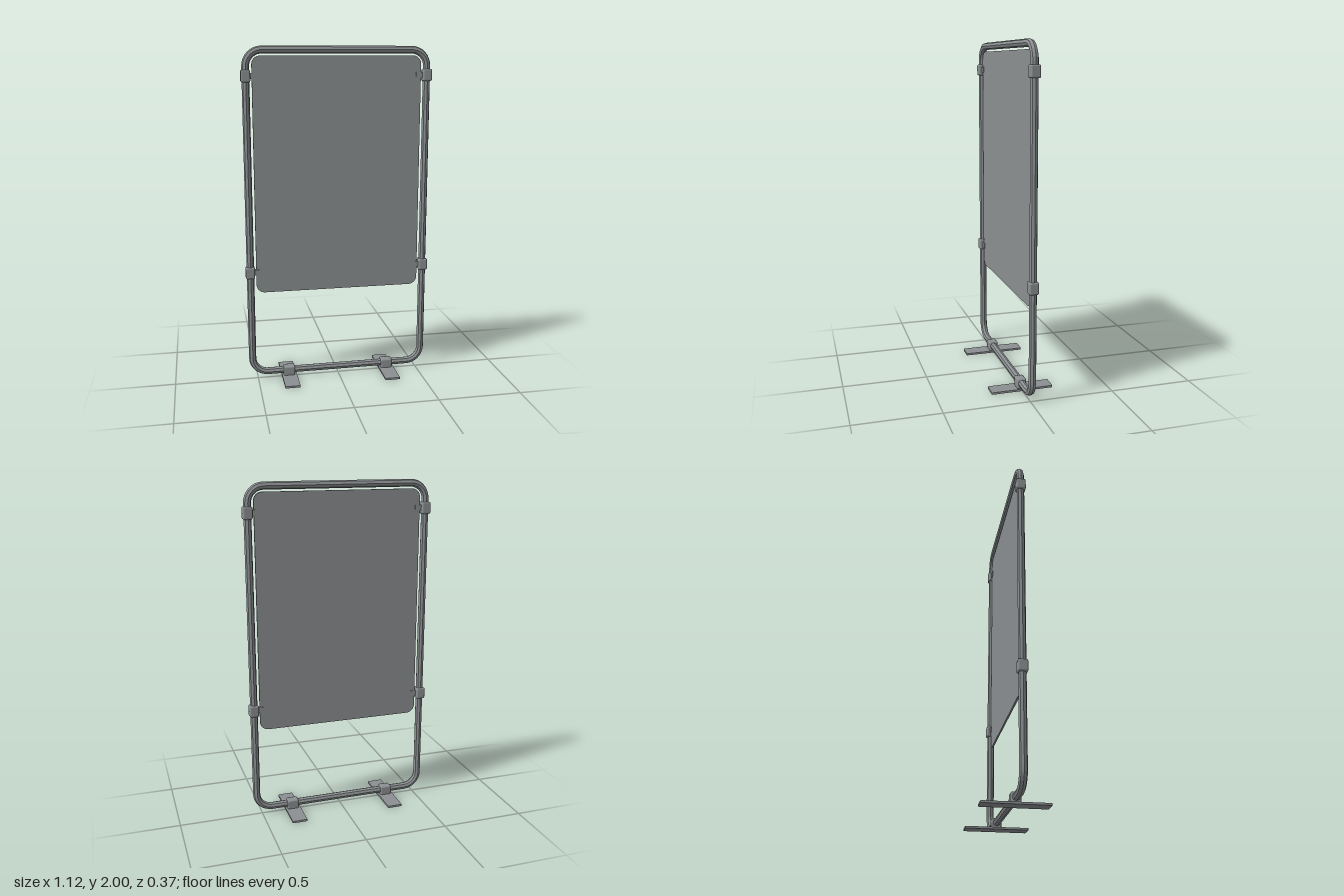
import * as THREE from 'three';
import { RoundedBoxGeometry } from 'three/addons/geometries/RoundedBoxGeometry.js';

const steel = new THREE.MeshStandardMaterial({ color: 0x8c9092 });
steel.name = 'grey steel';
const flatSteel = steel.clone();
flatSteel.flatShading = true;

// Octagonal tube swept around a rounded rectangle in the xy plane
function tubeLoop(halfW, y0, y1, bend, a, sides = 8, steps = 8) {
  const pos = [], index = [];
  const corners = [[1, y1 - bend], [-1, y1 - bend], [-1, y0 + bend], [1, y0 + bend]];
  corners.forEach(([s, cy], q) => {
    for (let i = 0; i <= steps; i++) {
      const t = (q + i / steps) * Math.PI / 2;
      for (let j = 0; j < sides; j++) {
        const p = j / sides * Math.PI * 2, r = bend + a * Math.cos(p);
        pos.push(s * (halfW - bend) + r * Math.cos(t), cy + r * Math.sin(t), a * Math.sin(p));
      }
    }
  });
  const rings = 4 * (steps + 1);
  for (let i = 0; i < rings; i++) {
    for (let j = 0; j < sides; j++) {
      const k = (j + 1) % sides, n = (i + 1) % rings;
      const A = i * sides + j, B = n * sides + j, C = n * sides + k, D = i * sides + k;
      index.push(A, B, C, A, C, D);
    }
  }
  const g = new THREE.BufferGeometry();
  g.setAttribute('position', new THREE.Float32BufferAttribute(pos, 3));
  g.setIndex(index);
  g.computeVertexNormals();
  return g;
}

// Rounded rectangle plate centred on z = 0
function plate(w, h, r, depth) {
  const s = new THREE.Shape(), x = w / 2 - r, y = h / 2 - r;
  s.absarc(x, y, r, 0, Math.PI / 2);
  s.absarc(-x, y, r, Math.PI / 2, Math.PI);
  s.absarc(-x, -y, r, Math.PI, Math.PI * 1.5);
  s.absarc(x, -y, r, Math.PI * 1.5, Math.PI * 2);
  return new THREE.ExtrudeGeometry(s, { depth, bevelEnabled: false, curveSegments: 8 })
    .translate(0, 0, -depth / 2);
}

export function createModel() {
  const model = new THREE.Group();
  model.name = 'signStand';
  const add = (name, geometry, x, y, z, material = steel) => {
    const m = new THREE.Mesh(geometry, material);
    m.name = name;
    m.position.set(x, y, z);
    model.add(m);
    return m;
  };

  add('tubeFrame', tubeLoop(0.532, 0.041, 1.978, 0.093, 0.022), 0, 0, 0, flatSteel);
  add('signPanel', plate(0.994, 1.395, 0.05, 0.01), 0, 1.2475, 0);

  for (const s of [-1, 1]) {
    const side = s > 0 ? 'left' : 'right';
    // Clips around the uprights, with tabs gripping the panel
    for (const [level, y] of [['Upper', 1.832], ['Lower', 0.677]]) {
      add(`${side}${level}Clip`, new RoundedBoxGeometry(0.055, 0.07, 0.056, 2, 0.01), s * 0.533, y, 0);
      add(`${side}${level}ClipTab`, new THREE.BoxGeometry(0.045, 0.035, 0.018), s * 0.49, y, 0);
    }
    // Flat feet and the brackets holding the lower rail
    add(`${side}Foot`, plate(0.092, 0.37, 0.006, 0.012), s * 0.308, 0.006, 0).rotation.x = -Math.PI / 2;
    add(`${side}FootBracket`, new RoundedBoxGeometry(0.07, 0.062, 0.056, 2, 0.01), s * 0.308, 0.037, 0);
  }
  return model;
}
